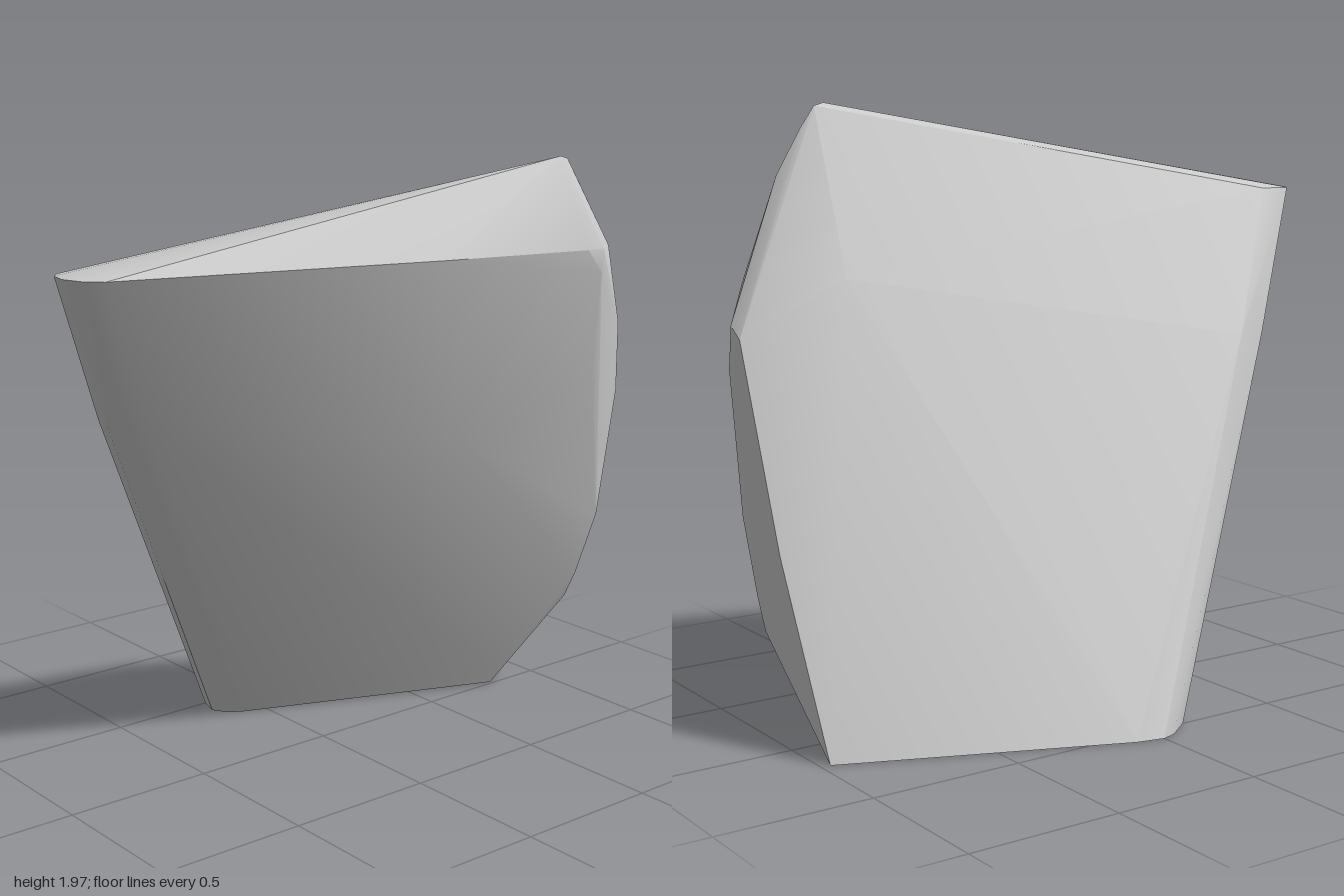
import * as THREE from 'three';
import { ConvexGeometry } from 'three/addons/geometries/ConvexGeometry.js';
import { toCreasedNormals } from 'three/addons/utils/BufferGeometryUtils.js';

// A level section: one height, several [x, z] corners
const level = (y, corners) => corners.map(([x, z]) => new THREE.Vector3(x, y, z));
const point = (x, y, z) => new THREE.Vector3(x, y, z);

export function createModel() {
  const group = new THREE.Group();
  group.name = 'leaningRock';

  const corners = [
    // flat foot
    ...level(0, [[-0.56, -0.09], [-0.58, 0], [-0.565, 0.05], [-0.5, 0.14], [-0.43, 0.16],
      [-0.38, 0.13], [-0.35, 0.08], [-0.01, -0.8], [-0.05, -0.87], [-0.19, -0.97]]),
    // rounded front edge, bulging a little halfway up
    ...level(1.2, [[-0.23, 0.6], [-0.2, 0.72], [-0.14, 0.775], [-0.07, 0.79], [0, 0.75], [0.03, 0.7]]),
    // front tip and the sharp shoulder running back from it
    ...level(1.68, [[-0.07, 0.83], [-0.06, 0.95], [-0.02, 0.985], [0.05, 1], [0.13, 0.975],
      [0.17, 0.93], [0.46, -0.1], [0.575, -0.62], [0.575, -0.69], [0.53, -0.76]]),
    // swelling of the left flank
    point(0.03, 0.08, -0.76), point(0.34, 1.07, -0.3), point(0.48, 1.26, -0.76),
    point(0.57, 1.6, -0.69),
    // flat back edge
    point(0.16, 0.34, -1), point(0.21, 0.44, -1), point(0.3, 0.68, -1), point(0.37, 1.14, -1),
    point(0.35, 1.28, -1), point(0.29, 1.24, -1), point(0.05, 0.6, -1),
    // peak and its rounded rear
    point(0.46, 1.97, -0.6), point(0.45, 1.96, -0.64), point(0.45, 1.89, -0.69),
    point(0.45, 1.74, -0.78), point(0.45, 1.4, -0.91),
    // corner of the right flank
    point(0.2, 1.42, -0.67),
  ];

  const geometry = toCreasedNormals(new ConvexGeometry(corners), THREE.MathUtils.degToRad(28));
  const rock = new THREE.Mesh(geometry, new THREE.MeshStandardMaterial({ color: 0xcccccc }));
  rock.name = 'rock';
  group.add(rock);
  return group;
}
